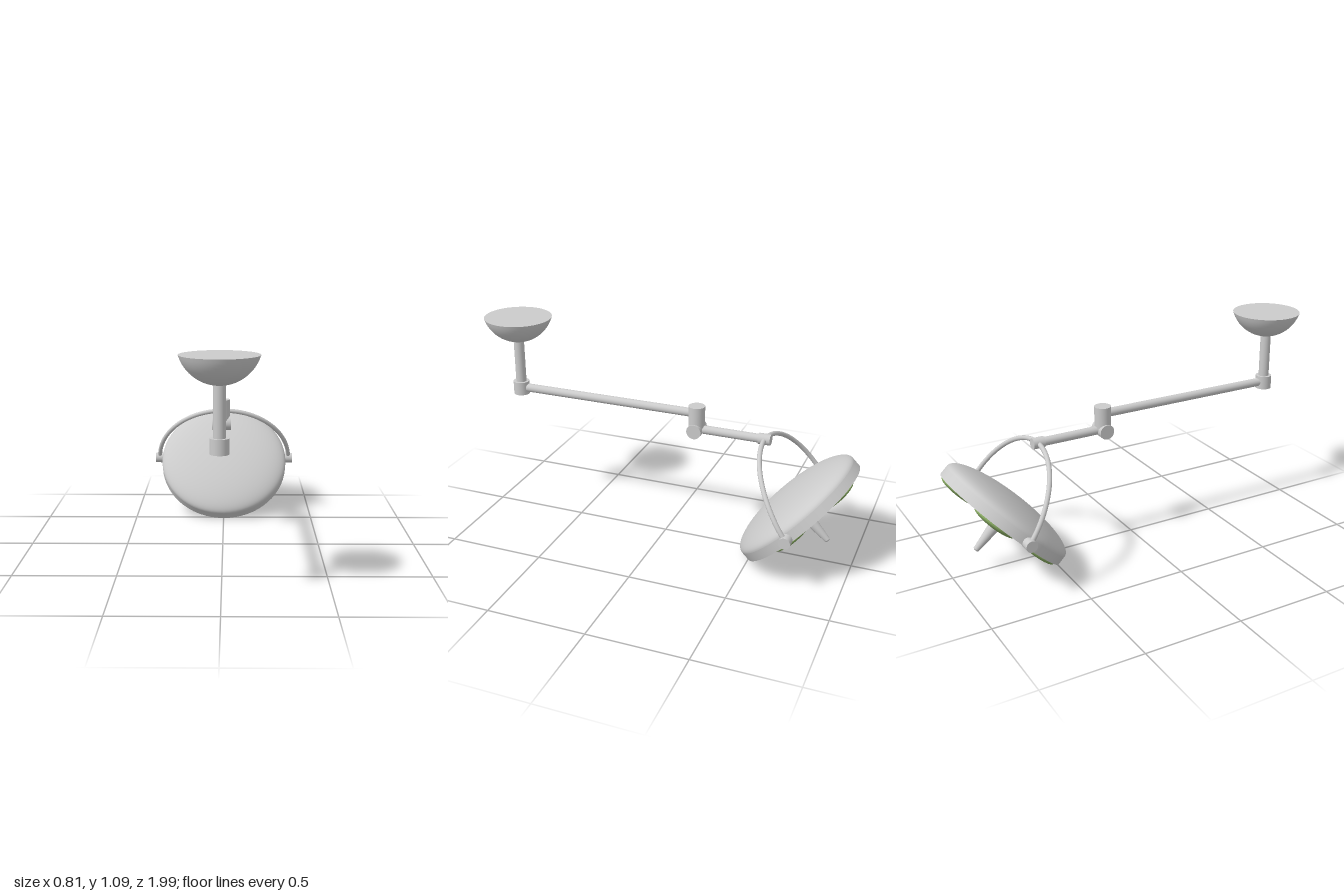
import * as THREE from 'three';

const grey = new THREE.MeshStandardMaterial({ color: 0xcccccc, side: THREE.DoubleSide });
const green = new THREE.MeshStandardMaterial({ color: 0x86a861 });
const V = (x, y, z) => new THREE.Vector3(x, y, z);
const ARM_X = -0.006;

function add(parent, name, geometry, material = grey) {
  const mesh = new THREE.Mesh(geometry, material);
  mesh.name = name;
  parent.add(mesh);
  return mesh;
}

// Cylinder running from point a to point b
function rod(parent, name, a, b, radius) {
  const dir = b.clone().sub(a);
  const mesh = add(parent, name, new THREE.CylinderGeometry(radius, radius, dir.length(), 40));
  mesh.position.copy(a).add(b).multiplyScalar(0.5);
  mesh.quaternion.setFromUnitVectors(V(0, 1, 0), dir.normalize());
  return mesh;
}

// Lathe whose corners stay sharp: each run of points is its own smooth surface
function lathe(parent, name, ...runs) {
  for (const run of runs) {
    add(parent, name, new THREE.LatheGeometry(run.map(([r, y]) => new THREE.Vector2(r, y)), 64));
  }
}

function ceilingArm(root) {
  // Bowl-shaped ceiling mount, closed on top
  const bowl = new THREE.Group();
  bowl.name = 'ceilingMount';
  bowl.position.set(ARM_X, 0.97, 0.825);
  root.add(bowl);
  const R = 0.183, rim = Math.asin(0.175 / R);
  const cap = [];
  for (let i = 0; i <= 16; i++) {
    const a = (rim * i) / 16;
    cap.push([R * Math.sin(a), (R - R * Math.cos(a)) * 0.13 / (R - R * Math.cos(rim))]);
  }
  lathe(bowl, 'mountBowl', cap, [[0.175, 0.13], [0, 0.13]]);

  // Drop pole, long arm, elbow and short arm
  const p = (y, z, x = 0) => V(ARM_X + x, y, z);
  rod(root, 'dropPole', p(0.71, 0.83), p(0.985, 0.83), 0.027);
  rod(root, 'poleJoint', p(0.675, 0.83), p(0.745, 0.83), 0.042);
  rod(root, 'longArm', p(0.71, 0.83), p(0.71, -0.165), 0.022);
  rod(root, 'elbowSleeve', p(0.625, -0.165), p(0.75, -0.165), 0.042);
  rod(root, 'elbowPivot', p(0.625, -0.165, -0.049), p(0.625, -0.165, 0.049), 0.038);
  rod(root, 'shortArm', p(0.627, -0.165), p(0.627, -0.5), 0.022);
  rod(root, 'yokeJoint', p(0.627, -0.492), p(0.627, -0.553), 0.028);
}

function yoke(root) {
  // Half-round bow that carries the lamp head at both sides
  const pts = [];
  for (let i = 0; i <= 24; i++) {
    const a = (Math.PI * i) / 24, s = Math.sin(a);
    pts.push(V(0.38 * Math.cos(a), 0.305 + 0.322 * s, -0.745 + 0.222 * s));
  }
  add(root, 'yokeBow', new THREE.TubeGeometry(new THREE.CatmullRomCurve3(pts), 80, 0.012, 16));
  for (const s of [-1, 1]) {
    rod(root, 'yokePivot', V(s * 0.345, 0.305, -0.745), V(s * 0.403, 0.305, -0.745), 0.029);
  }
}

function lampHead(root) {
  // Local +y points out of the dome, -y is the lit side
  const head = new THREE.Group();
  head.name = 'lampHead';
  head.position.set(0, 0.265, -0.7375);
  head.rotation.x = Math.PI / 4;
  root.add(head);

  // Shallow dome, straight rim, and underside with a recessed centre
  const dome = [];
  for (let i = 0; i <= 24; i++) {
    const a = (Math.PI / 2) * (i / 24);
    dome.push([0.363 * Math.cos(a), 0.05 + 0.09 * Math.sin(a)]);
  }
  lathe(head, 'housing', [[0.363, 0], [0.363, 0.05]], dome,
    [[0.11, 0], [0.363, 0]], [[0.11, 0.02], [0.11, 0]], [[0, 0.02], [0.11, 0.02]]);

  // Ring of five lenses in shallow cups
  for (let k = 0; k < 5; k++) {
    const a = (k * Math.PI * 2) / 5;
    const x = 0.235 * Math.cos(a), z = 0.235 * Math.sin(a);
    const lens = add(head, 'lens', new THREE.SphereGeometry(0.116, 40, 20), green);
    lens.scale.y = 0.2;
    lens.position.set(x, -0.006, z);
    rod(head, 'lensCup', V(x, 0.02, z), V(x, -0.006, z), 0.114);
  }

  // Central hub and tapered handle with a rounded tip
  for (const r of [0.055, 0.08]) {
    const ring = add(head, 'hubRing', new THREE.TorusGeometry(r, 0.007, 10, 48));
    ring.rotation.x = Math.PI / 2;
    ring.position.y = 0.012;
  }
  lathe(head, 'handle', [[0.04, -0.012], [0.04, 0.02]], [[0.034, -0.012], [0.04, -0.012]],
    [[0.015, -0.188], [0.034, -0.012]], [[0, -0.194], [0.01, -0.193], [0.015, -0.188]]);
}

export function createModel() {
  const root = new THREE.Group();
  root.name = 'surgicalLamp';
  ceilingArm(root);
  yoke(root);
  lampHead(root);
  return root;
}
